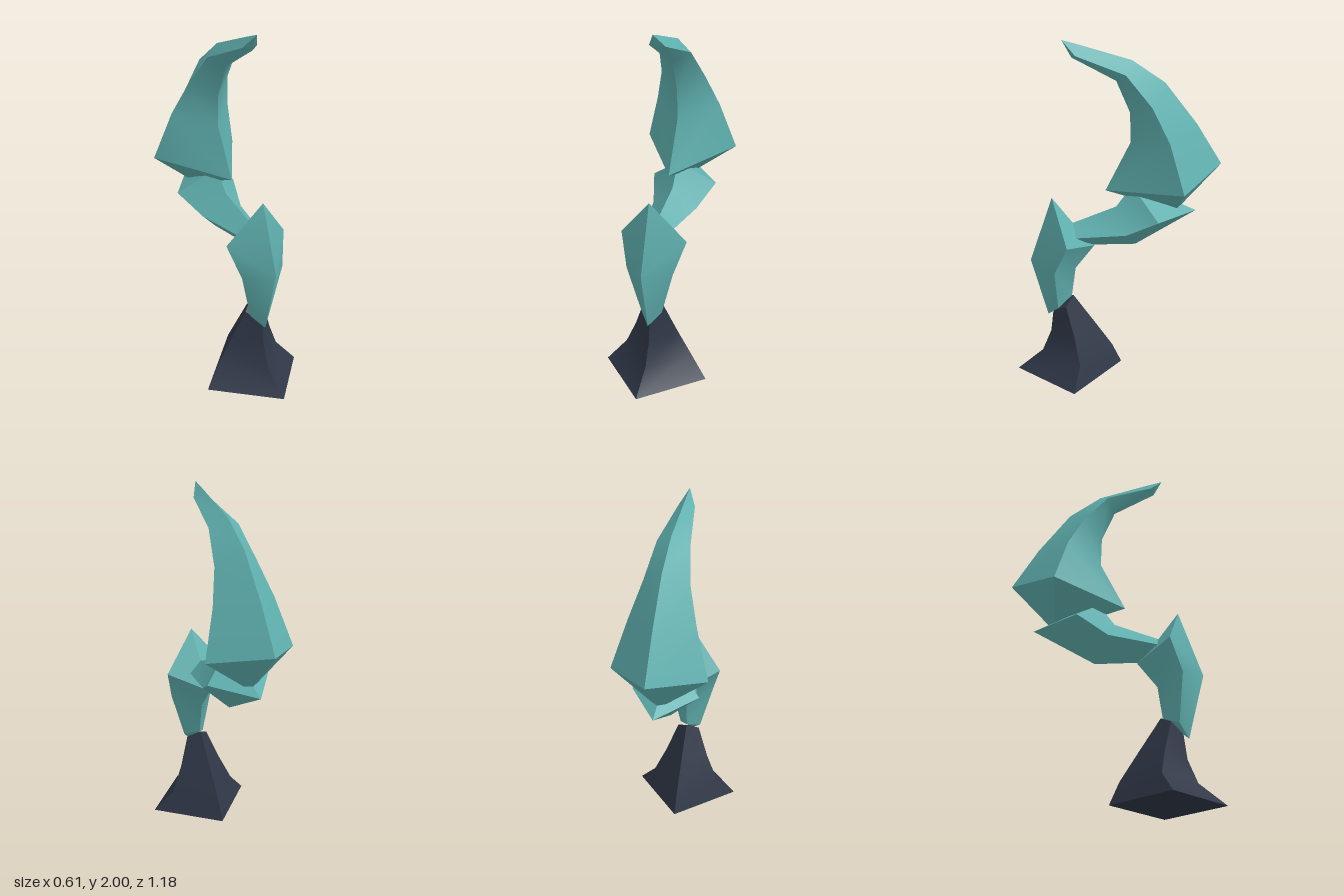
import * as THREE from 'three';
import { toCreasedNormals } from 'three/addons/utils/BufferGeometryUtils.js';

const teal = new THREE.MeshStandardMaterial({ color: 0x5fb0af });
const slate = new THREE.MeshStandardMaterial({ color: 0x2f3747 });

// Lofts diamond sections. Each ring is [front z, y, side x, z, y, back z, y];
// start and end are the [z, y] points that close the two ends.
function diamondLoft(name, material, start, rings, end) {
  const loops = rings.map(([fz, fy, sx, sz, sy, bz, by]) =>
    [[0, fy, fz], [sx, sy, sz], [0, by, bz], [-sx, sy, sz]]);
  const first = [0, start[1], start[0]];
  const last = [0, end[1], end[0]];
  const pos = [];
  const tri = (a, b, c) => pos.push(...a, ...b, ...c);
  for (let k = 0; k < 4; k++) {
    const n = (k + 1) % 4;
    tri(first, loops[0][n], loops[0][k]);
    for (let i = 0; i < loops.length - 1; i++) {
      const lo = loops[i], hi = loops[i + 1];
      // Mirror the diagonal so both halves match
      if (k % 2 === 0) {
        tri(lo[k], lo[n], hi[n]);
        tri(lo[k], hi[n], hi[k]);
      } else {
        tri(lo[k], lo[n], hi[k]);
        tri(lo[n], hi[n], hi[k]);
      }
    }
    const top = loops[loops.length - 1];
    tri(top[k], top[n], last);
  }
  const geometry = new THREE.BufferGeometry();
  geometry.setAttribute('position', new THREE.Float32BufferAttribute(pos, 3));
  const mesh = new THREE.Mesh(toCreasedNormals(geometry, 0.6), material);
  mesh.name = name;
  return mesh;
}

export function createModel() {
  const group = new THREE.Group();
  group.name = 'segmentedHorn';

  // Flared dark foot
  group.add(diamondLoft('base', slate, [0.28, 0], [
    [0.59, 0, 0.305, 0.28, 0, -0.03, 0],
    [0.44, 0.12, 0.2, 0.235, 0.12, 0.025, 0.125],
    [0.387, 0.25, 0.13, 0.26, 0.27, 0.135, 0.3],
    [0.37, 0.39, 0.065, 0.3, 0.44, 0.25, 0.48],
  ], [0.31, 0.44]));

  // Upright segment, narrow at the foot and pointed at the top
  group.add(diamondLoft('lowerSegment', teal, [0.34, 0.43], [
    [0.4, 0.365, 0.063, 0.345, 0.435, 0.26, 0.48],
    [0.49, 0.73, 0.135, 0.365, 0.7, 0.235, 0.66],
    [0.36, 1.11, 0.19, 0.295, 0.88, 0.125, 0.8],
  ], [0.25, 0.955]));

  // Segment leaning backward
  group.add(diamondLoft('middleSegment', teal, [0.3, 0.88], [
    [0.3, 0.93, 0.06, 0.29, 0.88, 0.26, 0.81],
    [0, 1.037, 0.13, -0.04, 0.915, -0.11, 0.795],
    [-0.09, 1.16, 0.19, -0.21, 1.01, -0.455, 0.99],
  ], [-0.26, 1.09]));

  // Large hooked tip
  group.add(diamondLoft('hook', teal, [-0.34, 0.995], [
    [0.06, 1.14, 0.267, -0.335, 1.2, -0.59, 1.27],
    [-0.08, 1.42, 0.185, -0.265, 1.47, -0.445, 1.51],
    [-0.075, 1.59, 0.127, -0.175, 1.655, -0.265, 1.75],
    [0, 1.77, 0.09, -0.04, 1.825, -0.085, 1.88],
    [0.235, 1.905, 0.045, 0.22, 1.925, 0.2, 1.974],
  ], [0.285, 2]));

  return group;
}
